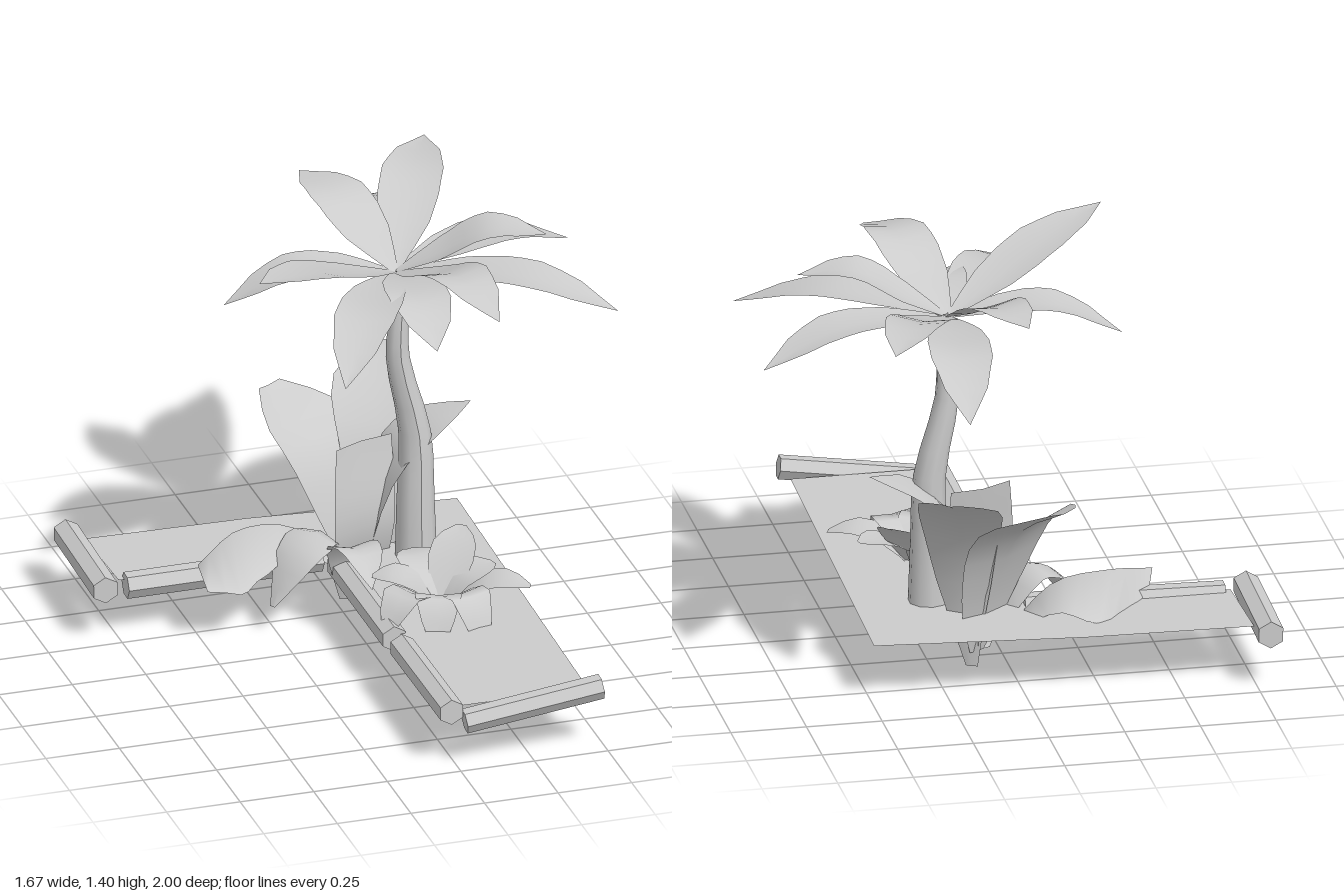
import * as THREE from 'three';

const V = (a) => new THREE.Vector3(...a);
const solid = new THREE.MeshStandardMaterial({ color: 0xcccccc });
const faceted = new THREE.MeshStandardMaterial({ color: 0xcccccc, flatShading: true });
const thin = new THREE.MeshStandardMaterial({ color: 0xcccccc, side: THREE.DoubleSide });

function mesh(name, geometry, material) {
  const m = new THREE.Mesh(geometry, material);
  m.name = name;
  return m;
}

// Sample a short list of evenly spaced values at t in 0..1
function sample(list, t) {
  const f = t * (list.length - 1);
  const i = Math.min(Math.floor(f), list.length - 2);
  return THREE.MathUtils.lerp(list[i], list[i + 1], f - i);
}

// Leaf blade: rows across a curved midrib, edges lifted by "fold"
function leaf(name, path, widths, { side = null, fold = 0.15, rows = 10 } = {}) {
  const curve = new THREE.CatmullRomCurve3(path.map(V));
  const pos = [], idx = [];
  const flat = V(path[path.length - 1]).sub(V(path[0])).setY(0);
  const s = (side ? V(side) : flat.cross(V([0, 1, 0]))).normalize();
  for (let i = 0; i <= rows; i++) {
    const t = i / rows;
    const p = curve.getPoint(t);
    const n = s.clone().cross(curve.getTangent(t)).normalize();
    const w = sample(widths, t);
    for (const k of [-1, 0, 1]) {
      const q = p.clone().addScaledVector(s, k * w).addScaledVector(n, Math.abs(k) * w * fold);
      pos.push(q.x, q.y, q.z);
    }
    if (i < rows) {
      for (let k = 0; k < 2; k++) {
        const a = i * 3 + k, b = a + 3;
        idx.push(a, a + 1, b, a + 1, b + 1, b);
      }
    }
  }
  const g = new THREE.BufferGeometry();
  g.setAttribute('position', new THREE.Float32BufferAttribute(pos, 3));
  g.setIndex(idx);
  g.computeVertexNormals();
  return mesh(name, g, thin);
}

// Six-sided log between two points
function log(a, b, r) {
  const from = V(a), to = V(b), d = to.clone().sub(from);
  const m = mesh('borderLog', new THREE.CylinderGeometry(r, r, d.length(), 6), faceted);
  m.position.copy(from).add(to).multiplyScalar(0.5);
  m.quaternion.setFromUnitVectors(V([0, 1, 0]), d.normalize());
  return m;
}

// Trunk: tapered rings along a bent centre line
function trunk() {
  const curve = new THREE.CatmullRomCurve3([
    [0.235, 0.12, -0.21], [0.235, 0.38, -0.215], [0.235, 0.63, -0.225],
    [0.178, 0.9, -0.225], [0.182, 1.05, -0.225], [0.2, 1.2, -0.24]].map(V));
  const radii = [0.07, 0.062, 0.053, 0.039, 0.031, 0.022];
  const g = new THREE.CylinderGeometry(1, 1, 1, 10, 15, true);
  const p = g.attributes.position;
  for (let i = 0; i < p.count; i++) {
    const t = p.getY(i) + 0.5, c = curve.getPoint(t), r = sample(radii, t);
    p.setXYZ(i, c.x + p.getX(i) * r, c.y, c.z + p.getZ(i) * r);
  }
  g.computeVertexNormals();
  return mesh('trunk', g, solid);
}

export function createModel() {
  const model = new THREE.Group();
  model.name = 'palmBed';

  // L-shaped ground sheet
  const outline = [[-0.75, -0.65], [-0.2, -0.635], [0.49, -0.57], [0.46, 0.91],
    [0.02, 0.91], [-0.01, -0.29], [-0.74, -0.32]];
  const ground = new THREE.ShapeGeometry(
    new THREE.Shape(outline.map(([x, z]) => new THREE.Vector2(x, -z))));
  ground.rotateX(-Math.PI / 2).translate(0, 0.19, 0);
  model.add(mesh('ground', ground, thin));

  // Border logs
  const logs = new THREE.Group();
  logs.name = 'borderLogs';
  logs.add(
    log([0.03, 0.15, 0.945], [0.49, 0.215, 0.96], 0.041),
    log([-0.015, 0.185, 0.42], [-0.015, 0.19, 0.95], 0.044),
    log([-0.015, 0.175, -0.25], [-0.015, 0.175, 0.34], 0.044),
    log([-0.72, 0.173, -0.31], [-0.06, 0.18, -0.3], 0.044),
    log([-0.79, 0.185, -0.725], [-0.8, 0.185, -0.27], 0.046));
  model.add(logs);

  // Palm: trunk and crown, each frond arching to its tip
  model.add(trunk());
  const crown = new THREE.Group();
  crown.name = 'crown';
  const heart = [0.18, 1.19, -0.26];
  const tips = [[0.26, 1.11, -1.0], [0.49, 1.335, -0.92], [0.83, 1.13, -0.45],
    [0.65, 1.32, -0.12], [0.81, 1.14, 0.14], [0.33, 1.28, 0.38], [0.16, 1.14, 0.25],
    [-0.19, 1.11, 0.37], [-0.4, 1.4, 0.11], [-0.38, 1.12, -0.33], [0.02, 1.34, -0.78]];
  for (const tip of tips) {
    const high = tip[1] > 1.2;
    const at = (t, y) => [heart[0] + (tip[0] - heart[0]) * t, y, heart[2] + (tip[2] - heart[2]) * t];
    const path = [heart, at(0.3, high ? 1.26 : 1.22), at(0.62, high ? 1.34 : 1.222), tip];
    crown.add(leaf('frond', path, [0.012, 0.05, 0.085, 0.1, 0.1, 0.07, 0], { rows: 12 }));
  }
  model.add(crown);

  // Tall broad leaves behind the trunk
  const tall = new THREE.Group();
  tall.name = 'broadLeafPlant';
  const broad = [0.02, 0.06, 0.1, 0.125, 0.145, 0.13, 0.03];
  tall.add(
    leaf('broadLeaf', [[0.12, 0, -0.34], [0.15, 0.25, -0.36], [0.18, 0.48, -0.44],
      [0.21, 0.62, -0.57], [0.27, 0.72, -0.73]], broad, { side: [1, 0, 0.5] }),
    leaf('broadLeaf', [[0.1, 0.05, -0.34], [0.05, 0.28, -0.38], [-0.01, 0.5, -0.47],
      [-0.12, 0.64, -0.67]], [0.03, 0.09, 0.13, 0.16, 0.18, 0.16, 0.05], { side: [0.85, 0, -0.5] }),
    leaf('broadLeaf', [[0.1, 0.05, -0.33], [0.11, 0.3, -0.32], [0.19, 0.53, -0.31],
      [0.3, 0.62, -0.3], [0.45, 0.67, -0.3]], [0.02, 0.06, 0.1, 0.13, 0.13, 0.09, 0],
      { side: [0, 0, -1], fold: 0.03 }),
    leaf('broadLeaf', [[0.08, 0.05, -0.32], [0.06, 0.3, -0.24], [0.07, 0.59, -0.28]],
      [0.03, 0.1, 0.12, 0.12, 0.11], { side: [0.9, 0, -0.3] }));
  model.add(tall);

  // Low arching leaves towards the side arm of the bed
  const low = new THREE.Group();
  low.name = 'lowPlant';
  low.add(
    leaf('lowLeaf', [[0, 0.14, -0.36], [-0.15, 0.28, -0.36], [-0.33, 0.3, -0.34],
      [-0.5, 0.25, -0.23]], [0.02, 0.09, 0.16, 0.2, 0.09], { side: [0.15, 0, -1], fold: -0.65 }),
    leaf('lowLeaf', [[0.02, 0.14, -0.32], [-0.08, 0.3, -0.26], [-0.18, 0.26, -0.2],
      [-0.27, 0.1, -0.16]], [0.02, 0.08, 0.1, 0.08, 0.01], { fold: -0.2 }),
    leaf('lowLeaf', [[0, 0.06, -0.22], [-0.02, 0.28, -0.14], [0, 0.3, -0.05],
      [0, 0.22, 0.06]], [0.02, 0.06, 0.08, 0.06, 0], { fold: 0.2 }));
  model.add(low);

  // Small bush at the front of the bed
  const bush = new THREE.Group();
  bush.name = 'bush';
  const c = [0.2, 0.15, 0.15];
  const ends = [[0.47, 0.26, 0.27], [0.4, 0.28, 0.1], [0.33, 0.37, -0.02], [0.17, 0.27, -0.1],
    [0.0, 0.27, 0.06], [-0.03, 0.17, 0.3], [0.12, 0.13, 0.38], [0.27, 0.11, 0.4]];
  for (const e of ends) {
    const at = (t, y) => [c[0] + (e[0] - c[0]) * t, y, c[2] + (e[2] - c[2]) * t];
    const path = [c, at(0.35, 0.25), at(0.7, Math.max(0.28, e[1] - 0.04)), e];
    bush.add(leaf('bushLeaf', path, [0.015, 0.045, 0.075, 0.08, 0.06, 0.015], { rows: 6, fold: 0.1 }));
  }
  model.add(bush);
  return model;
}
